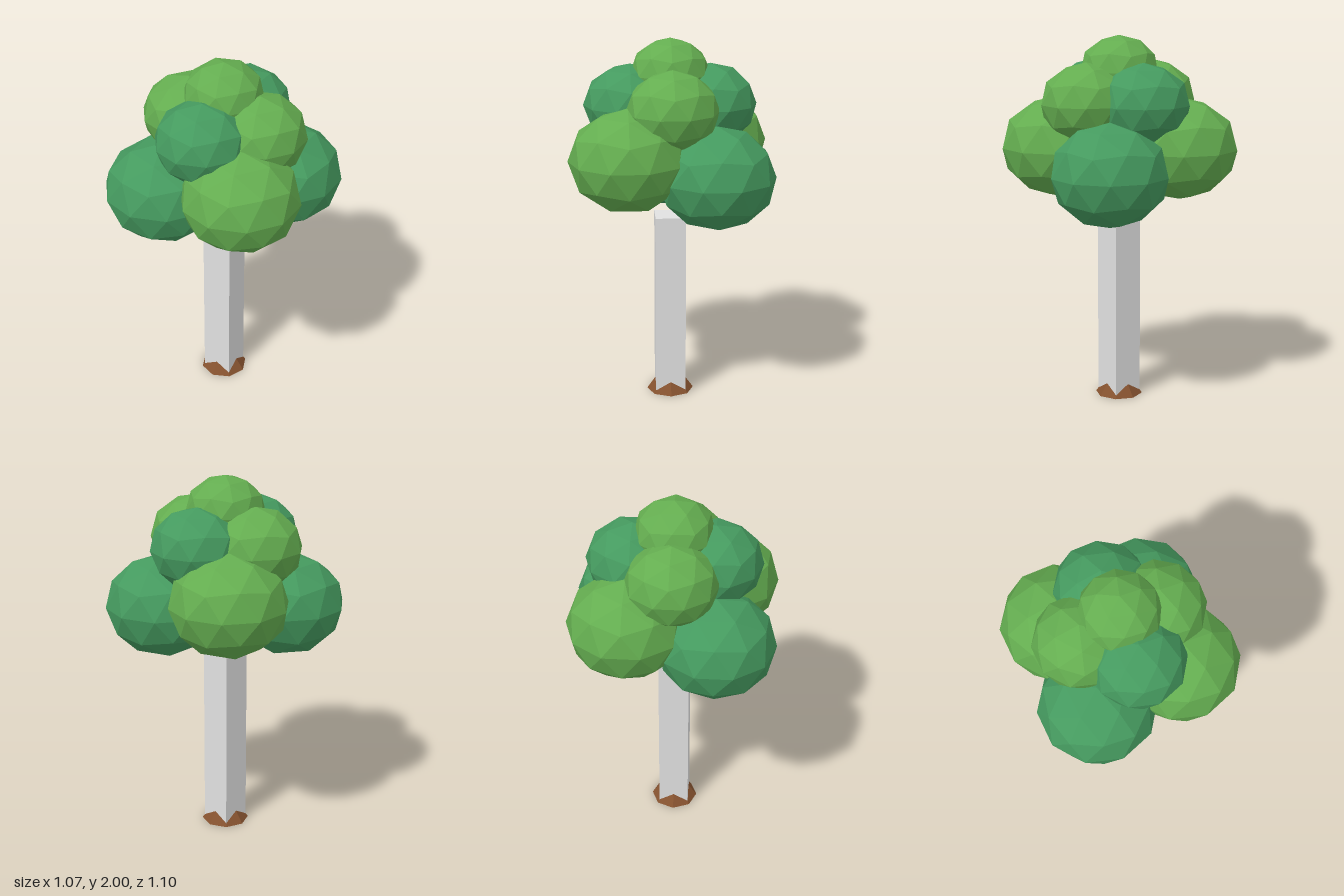
import * as THREE from 'three';

const mat = (name, color) => {
  const m = new THREE.MeshStandardMaterial({ color, flatShading: true });
  m.name = name;
  return m;
};

export function createModel() {
  const tree = new THREE.Group();
  tree.name = 'tree';

  const trunkGrey = mat('trunkGrey', 0xe0e0e0);
  const soilBrown = mat('soilBrown', 0x85522f);
  const lightGreen = mat('lightGreen', 0x64ad50);
  const darkGreen = mat('darkGreen', 0x459a5f);

  const add = (name, geometry, material, x, y, z) => {
    const mesh = new THREE.Mesh(geometry, material);
    mesh.name = name;
    mesh.position.set(x, y, z);
    tree.add(mesh);
    return mesh;
  };

  // Square trunk rising from an eight-sided mound
  add('trunk', new THREE.BoxGeometry(0.166, 1.02, 0.166), trunkGrey, 0, 0.521, 0);
  add('rootMound', new THREE.ConeGeometry(0.13, 0.183, 8), soilBrown, 0, 0.0915, 0);

  // Faceted ball with one corner pointing straight up
  const ball = new THREE.IcosahedronGeometry(1, 1);
  ball.rotateZ(-Math.atan(2 / (1 + Math.sqrt(5))));
  ball.computeVertexNormals();

  // Slightly flattened foliage clump
  const clump = (name, material, x, y, z, r, ry, turn = 0) => {
    const mesh = add(name, ball, material, x, y, z);
    mesh.scale.set(r, ry, r);
    mesh.rotation.y = turn;
  };

  // Core and crown
  clump('coreFoliage', darkGreen, 0, 1.4, 0, 0.35, 0.305);
  clump('topFoliage', lightGreen, 0, 1.812, 0, 0.214, 0.188);

  // Opposite clumps match in colour and height
  for (const s of [1, -1]) {
    const turn = s > 0 ? 0 : Math.PI;
    clump('lowerLightFoliage', lightGreen, s * 0.235, 1.396, s * 0.232, 0.316, 0.277, turn);
    clump('lowerDarkFoliage', darkGreen, -s * 0.235, 1.295, s * 0.232, 0.316, 0.277, turn);
    clump('upperDarkFoliage', darkGreen, 0, 1.647, s * 0.214, 0.25, 0.218, turn);
    clump('upperLightFoliage', lightGreen, s * 0.216, 1.647, 0, 0.247, 0.218, turn);
  }

  return tree;
}
